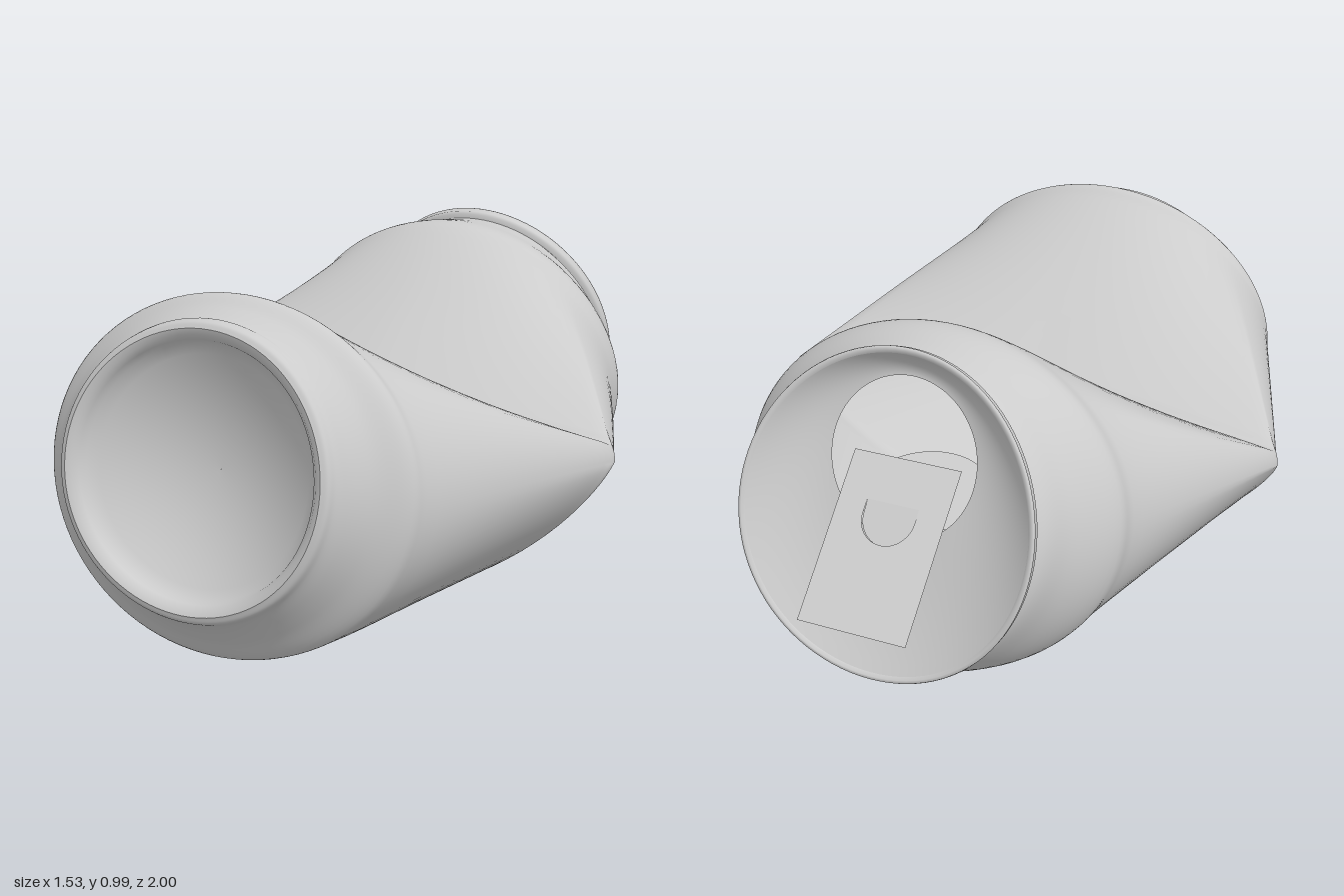
import * as THREE from 'three';

const SIDES = 96;
const material = new THREE.MeshStandardMaterial({ color: 0xcccccc, side: THREE.DoubleSide });
const lerp = THREE.MathUtils.lerp;

// Builds one closed loop of points from a rule of the angle.
function loop(rule) {
  return Array.from({ length: SIDES }, (_, j) => new THREE.Vector3(...rule((j / SIDES) * Math.PI * 2)));
}

// Tilted ellipse given by its top and bottom point; bow shifts the sides along z.
function ring(zTop, zBot, w, yTop, yBot, bow = 0) {
  return loop((a) => {
    const t = (1 + Math.sin(a)) / 2;
    return [w * Math.cos(a), lerp(yBot, yTop, t), lerp(zBot, zTop, t) + bow * Math.cos(a) ** 2];
  });
}

// Rings in the tilted frame of a can end: r radius, n height along the outward normal, cv shift up the plane.
function endFrame(y0, z0, tilt, dir, squash, bow) {
  const c = Math.cos(tilt), s = Math.sin(tilt);
  const y = (v, n) => y0 + v * c + n * s;
  const z = (v, n) => z0 + dir * (n * c - v * s);
  return (r, n, cv = 0, bowScale = 1) =>
    ring(z(cv + r, n), z(cv - r, n), r * squash, y(cv + r, n), y(cv - r, n), bow * bowScale);
}

// Section at the dent: nearly flat valley on top, blunt side tips, rounded underside.
function foldRing() {
  const w = 0.765, tip = Math.PI * 0.235;
  return loop((a) => {
    const side = Math.cos(a) < 0 ? -1 : 1;
    const s = Math.sin(a);
    if (s < 0) return [w * Math.cos(a), 0.44 * (1 - (-s) ** 1.55), lerp(0.09, 0.2, -s)];
    const b = Math.asin(Math.min(1, s));
    if (b < tip) return [side * (w - 0.012 * (b / tip) ** 2), lerp(0.44, 0.49, b / tip), 0.09];
    const t = (b - tip) / (Math.PI / 2 - tip);
    return [side * (w - 0.012) * (1 - t), 0.49 + 0.05 * Math.sin((t * Math.PI) / 2), lerp(0.09, 0.125, t)];
  });
}

const mix = (from, to, t) => from.map((p, j) => p.clone().lerp(to[j], t));

// Runs a smooth curve lengthwise through the loops and samples extra loops from it.
function smoothRows(loops, steps) {
  const curves = loops[0].map((_, j) => new THREE.CatmullRomCurve3(loops.map((l) => l[j])));
  const count = (loops.length - 1) * steps;
  return Array.from({ length: count + 1 }, (_, i) => curves.map((c) => c.getPoint(i / count)));
}

// Skins a list of loops.
function loft(name, rows) {
  const index = [];
  for (let i = 0; i < rows.length - 1; i++) {
    for (let j = 0; j < SIDES; j++) {
      const a = i * SIDES + j, b = i * SIDES + ((j + 1) % SIDES);
      index.push(a, a + SIDES, b, a + SIDES, b + SIDES, b);
    }
  }
  const geometry = new THREE.BufferGeometry().setFromPoints(rows.flat());
  geometry.setIndex(index);
  geometry.computeVertexNormals();
  const mesh = new THREE.Mesh(geometry, material);
  mesh.name = name;
  return mesh;
}

// U-shaped outline, round end down, for the tab cut-out and its tongue.
function tongueOutline(target, r, yMid, yTop) {
  target.moveTo(-r, yTop);
  target.lineTo(-r, yMid);
  target.absarc(0, yMid, r, Math.PI, Math.PI * 2, false);
  target.lineTo(r, yTop);
  target.closePath();
  return target;
}

export function createModel() {
  const can = new THREE.Group();
  can.name = 'crushedCan';
  const base = endFrame(0.522, 0.94, 0.168, 1, 1.05, 0.02);
  const lid = endFrame(0.58, -0.785, 0.314, -1, 0.95, -0.035);

  // Concave dome of the can bottom
  const dome = [];
  for (let i = 0; i <= 12; i++) {
    const t = Math.max(0.002, i / 12);
    dome.push(base(0.315 * t, -0.04 - 0.09 * (1 - t * t), 0, t * t));
  }
  dome.push(base(0.323, -0.02), base(0.335, -0.006), base(0.35, 0));
  can.add(loft('bottomDome', dome));

  // Crushed wall from the bottom rim over the dent to the neck
  const frontShoulder = ring(0.7, 0.82, 0.545, 0.908, 0.021);
  const backShoulder = ring(-0.39, -0.58, 0.545, 0.94, 0.052);
  const fold = foldRing();
  can.add(loft('body', smoothRows([
    base(0.35, 0),
    base(0.366, -0.008),
    base(0.375, -0.03),
    ring(0.84, 0.945, 0.415, 0.884, 0.122, 0.015),
    ring(0.79, 0.91, 0.46, 0.905, 0.082, 0.01),
    ring(0.74, 0.865, 0.53, 0.932, 0.025),
    frontShoulder,
    mix(frontShoulder, fold, 0.5),
    mix(frontShoulder, fold, 0.94),
    fold,
    mix(backShoulder, fold, 0.94),
    mix(backShoulder, fold, 0.5),
    backShoulder,
    ring(-0.45, -0.665, 0.535, 0.968, 0.058),
    ring(-0.55, -0.79, 0.45, 0.964, 0.122, -0.012),
    ring(-0.6, -0.855, 0.415, 0.96, 0.167, -0.025),
    lid(0.41, -0.035),
  ], 6)));

  // Rolled rim around the lid
  can.add(loft('lidRim', [
    lid(0.41, -0.035), lid(0.422, -0.03), lid(0.428, -0.022), lid(0.426, -0.012),
    lid(0.43, -0.004), lid(0.428, 0.002), lid(0.42, 0.003), lid(0.412, -0.004),
  ]));

  // Dished lid narrowing to the off-centre drinking hole
  const dish = [];
  for (let i = 0; i <= 12; i++) {
    const t = i / 12;
    dish.push(lid(lerp(0.412, 0.212, t), lerp(-0.004, -0.055, 1 - (1 - t) ** 2), 0.14 * t, 1 - t));
  }
  can.add(loft('lid', dish));

  // Parts mounted in the plane of the lid
  const fittings = new THREE.Group();
  fittings.name = 'lidFittings';
  fittings.position.set(0, 0.58, -0.785);
  fittings.rotation.set(0.314, Math.PI, 0);
  can.add(fittings);

  // Pull tab, lifted at its lower end, with a cut-out tongue
  const tab = new THREE.Group();
  tab.name = 'pullTab';
  tab.position.set(0, -0.069, 0.027);
  tab.rotation.x = -0.502;
  const plate = new THREE.Shape();
  plate.moveTo(-0.15, -0.23).lineTo(0.15, -0.23).lineTo(0.15, 0.23).lineTo(-0.15, 0.23).closePath();
  plate.holes.push(tongueOutline(new THREE.Path(), 0.072, 0.072, 0.11));
  const plateMesh = new THREE.Mesh(new THREE.ShapeGeometry(plate, 12), material);
  plateMesh.name = 'tabPlate';
  const tongue = new THREE.Mesh(new THREE.ShapeGeometry(tongueOutline(new THREE.Shape(), 0.072, -0.038, 0), 12), material);
  tongue.name = 'tabTongue';
  tongue.position.y = 0.11;
  tongue.rotation.x = 0.12;
  tab.add(plateMesh, tongue);
  fittings.add(tab);

  // Pushed-in flap hanging inside the drinking hole
  const flap = new THREE.Mesh(new THREE.CircleGeometry(0.17, 40).translate(0, 0.17, 0), material);
  flap.name = 'openingFlap';
  flap.position.set(0, -0.05, -0.06);
  flap.rotation.x = -1.1;
  fittings.add(flap);

  return can;
}
